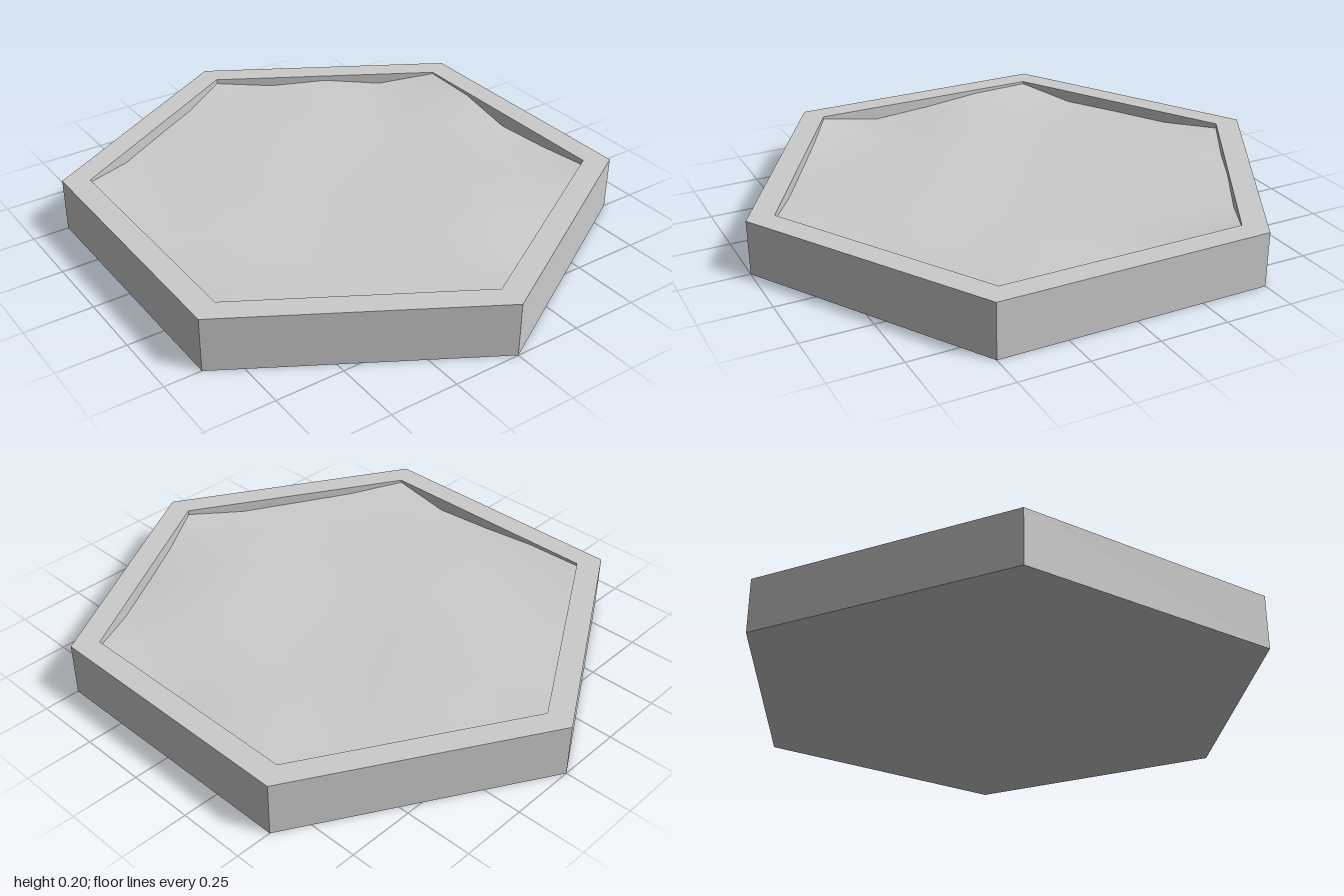
import * as THREE from 'three';

const INNER = 0.9, TOP = 0.2, RINGS = 4;

// Depth of the floor below the rim along its border: four steps per side,
// starting at the front corner and turning towards +x.
const BORDER = [
  0.018, 0.045, 0.05, 0.05,
  0.02, 0.042, 0.055, 0.012,
  0.006, 0.042, 0.02, 0.036,
  0.018, 0.042, 0.042, 0.045,
  0.01, 0.015, 0.036, 0.05,
  0.01, 0.03, 0.035, 0.04,
];

// Gently rolling floor made of concentric hexagonal rings
function floorGeometry() {
  const positions = [], index = [];
  const corner = (s, r) => new THREE.Vector3(
    r * Math.sin(s * Math.PI / 3), 0, r * Math.cos(s * Math.PI / 3));
  const start = (k) => (k === 0 ? 0 : 1 + 3 * k * (k - 1));
  const id = (k, i) => (k === 0 ? 0 : start(k) + (i % (6 * k)));

  for (let k = 0; k <= RINGS; k++) {
    const r = INNER * k / RINGS;
    for (let i = 0; i < Math.max(1, 6 * k); i++) {
      const side = k ? Math.floor(i / k) : 0;
      const p = corner(side, r).lerp(corner(side + 1, r), k ? (i % k) / k : 0);
      const depth = k === RINGS
        ? BORDER[i]
        : 0.035 + 0.012 * Math.sin(5 * p.x + 1) * Math.cos(6 * p.z);
      positions.push(p.x, TOP - depth, p.z);
    }
  }
  for (let k = 1; k <= RINGS; k++) {
    for (let s = 0; s < 6; s++) {
      for (let j = 0; j < k; j++) {
        const o = s * k + j, n = s * (k - 1) + j;
        index.push(id(k - 1, n), id(k, o), id(k, o + 1));
        if (j < k - 1) index.push(id(k - 1, n), id(k, o + 1), id(k - 1, n + 1));
      }
    }
  }
  const geometry = new THREE.BufferGeometry();
  geometry.setAttribute('position', new THREE.Float32BufferAttribute(positions, 3));
  geometry.setIndex(index);
  geometry.computeVertexNormals();
  return geometry;
}

export function createModel() {
  const group = new THREE.Group();
  group.name = 'hexTile';

  // Tray: underside, outer walls, flat rim and inner walls
  const profile = [[0, 0], [1, 0], [1, TOP], [INNER, TOP], [INNER, 0.12]]
    .map(([x, y]) => new THREE.Vector2(x, y));
  const tray = new THREE.Mesh(
    new THREE.LatheGeometry(profile, 6),
    new THREE.MeshStandardMaterial({ color: 0xcccccc, flatShading: true }));
  tray.name = 'tray';

  // Wavy floor sunk inside the rim
  const floor = new THREE.Mesh(
    floorGeometry(),
    new THREE.MeshStandardMaterial({ color: 0xcccccc }));
  floor.name = 'floor';

  group.add(tray, floor);
  return group;
}
